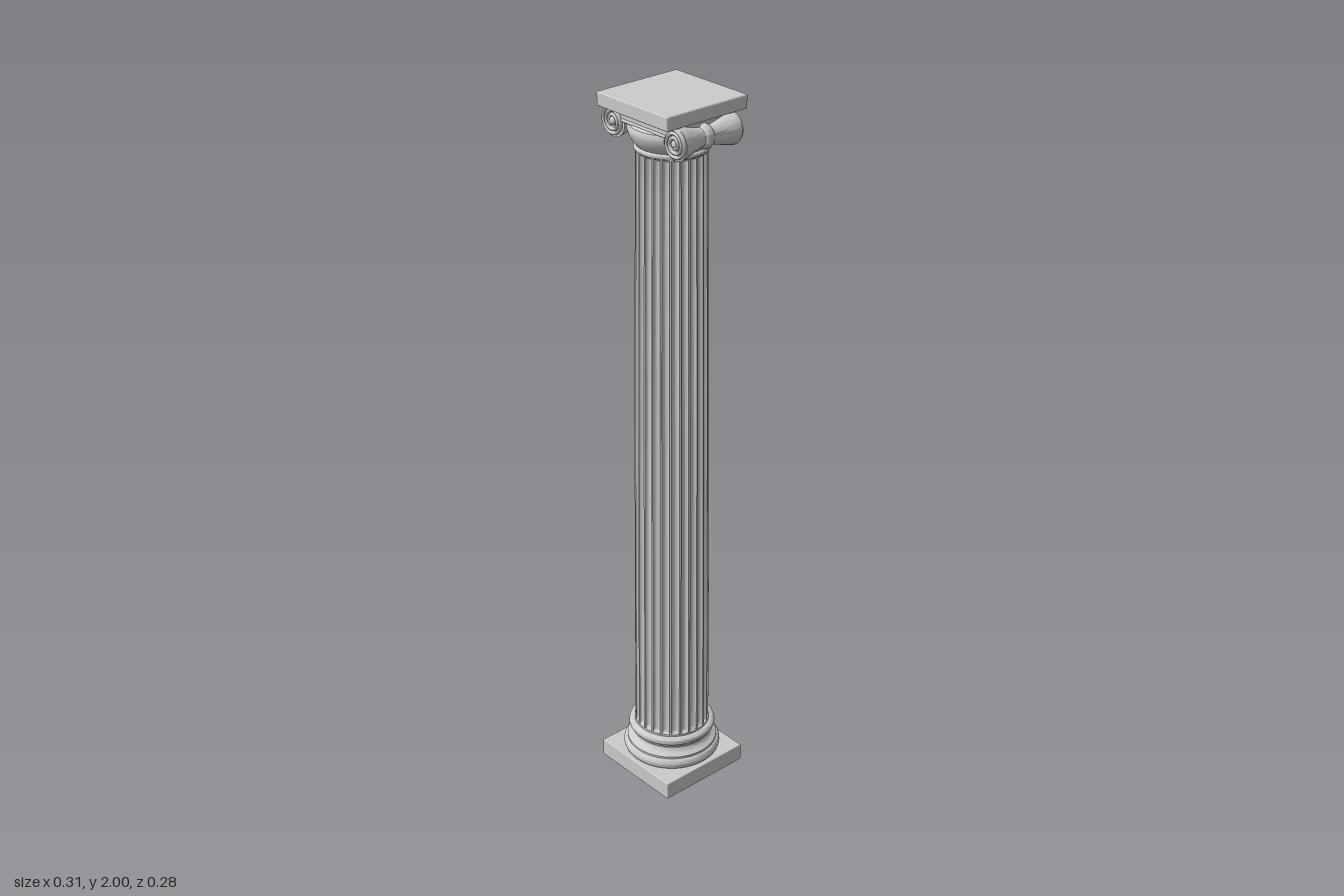
import * as THREE from 'three';
import { toCreasedNormals } from 'three/addons/utils/BufferGeometryUtils.js';
import { RoundedBoxGeometry } from 'three/addons/geometries/RoundedBoxGeometry.js';

const stone = new THREE.MeshStandardMaterial({ color: 0xcccccc });

function add(parent, name, geometry, x = 0, y = 0, z = 0) {
  const mesh = new THREE.Mesh(geometry, stone);
  mesh.name = name;
  mesh.position.set(x, y, z);
  parent.add(mesh);
  return mesh;
}

// Turned solid from [radius, height] pairs, bottom to top
function turned(pairs, segments = 64) {
  const pts = pairs.map(([r, y]) => new THREE.Vector2(r, y));
  return toCreasedNormals(new THREE.LatheGeometry(pts, segments), 0.7);
}

// Half-round bulge between two heights, for a turned profile
function bulge(r, y0, y1, depth, n = 10) {
  return Array.from({ length: n + 1 }, (_, i) => {
    const a = (i / n) * Math.PI;
    return [r + depth * Math.sin(a), (y0 + y1) / 2 - ((y1 - y0) / 2) * Math.cos(a)];
  });
}

// Tapered shaft with round-ended flutes
function flutedShaft(y0, y1, rBottom, rTop) {
  const flutes = 24, samples = 10, end = 0.012;
  const around = flutes * samples;
  const levels = [];
  for (let i = 0; i <= 6; i++) levels.push(y0 + 0.004 + end * (1 - Math.cos((i / 6) * Math.PI / 2)));
  for (let i = 1; i < 20; i++) levels.push(THREE.MathUtils.lerp(y0 + 0.016, y1 - 0.016, i / 20));
  for (let i = 0; i <= 6; i++) levels.push(y1 - 0.004 - end * (1 - Math.sin((i / 6) * Math.PI / 2)));
  levels.unshift(y0);
  levels.push(y1);
  const pos = [], idx = [];
  levels.forEach((y, i) => {
    const t = (y - y0) / (y1 - y0);
    const r = rBottom + (rTop - rBottom) * Math.pow(t, 1.4);
    const e = Math.min(1, Math.max(0, Math.min(y - y0, y1 - y) - 0.004) / end);
    const depth = 0.0095 * Math.sqrt(1 - (1 - e) ** 2);
    for (let j = 0; j <= around; j++) {
      const k = j % samples;
      // first sample step is the flat fillet, the rest sweeps the hollow
      const s = k === 0 ? 0 : (k - 1) / (samples - 1);
      const u = k === 0 ? 0 : 0.2 + 0.8 * (1 - Math.cos(s * Math.PI)) / 2;
      const a = ((Math.floor(j / samples) + u) / flutes) * Math.PI * 2;
      const rr = r - depth * Math.sin(s * Math.PI);
      pos.push(rr * Math.sin(a), y, rr * Math.cos(a));
      if (i < levels.length - 1 && j < around) {
        const p = i * (around + 1) + j, q = p + around + 1;
        idx.push(p, p + 1, q + 1, p, q + 1, q);
      }
    }
  });
  const g = new THREE.BufferGeometry();
  g.setAttribute('position', new THREE.Float32BufferAttribute(pos, 3));
  g.setIndex(idx);
  return toCreasedNormals(g, 0.6);
}

const VX = 0.115, VY = 1.92;

// One raised ridge: spirals out of one volute, runs across, spirals into the other
function scrollRidge() {
  const right = [];
  const turns = 2.5, n = 60;
  for (let i = 0; i <= n; i++) {
    const t = i / n;
    const a = Math.PI / 2 - t * turns * Math.PI * 2;
    const r = 0.037 * Math.pow(1 - t, 0.9) + 0.009 * t;
    right.push(new THREE.Vector3(VX + r * Math.cos(a), VY + r * Math.sin(a), 0));
  }
  const left = right.map(p => new THREE.Vector3(-p.x, p.y, 0)).reverse();
  const middle = [-0.06, 0, 0.06].map(x => new THREE.Vector3(x, VY + 0.036, 0));
  const path = new THREE.CatmullRomCurve3([...left, ...middle, ...right]);
  return new THREE.TubeGeometry(path, 400, 0.0048, 8);
}

export function createModel() {
  const model = new THREE.Group();
  model.name = 'column';

  // Base
  const base = new THREE.Group();
  base.name = 'base';
  model.add(base);
  add(base, 'plinth', new RoundedBoxGeometry(0.283, 0.052, 0.283, 2, 0.003), 0, 0.026, 0);
  const hollow = Array.from({ length: 9 }, (_, i) => {
    const t = i / 8;
    return [0.127 - 0.015 * t - 0.010 * Math.sin(t * Math.PI), 0.092 + 0.027 * t];
  });
  add(base, 'baseMouldings', turned([
    [0, 0.05], ...bulge(0.122, 0.052, 0.086, 0.015),
    [0.127, 0.086], ...hollow,
    [0.115, 0.119], [0.115, 0.124], ...bulge(0.111, 0.124, 0.148, 0.011),
    [0.106, 0.148], [0.106, 0.154], [0, 0.154],
  ]));

  // Shaft
  add(model, 'flutedShaft', flutedShaft(0.15, 1.862, 0.104, 0.091));

  // Capital
  const capital = new THREE.Group();
  capital.name = 'capital';
  model.add(capital);
  add(capital, 'neckAndEchinus', turned([
    [0, 1.858], ...bulge(0.091, 1.86, 1.872, 0.005, 8), [0.09, 1.873],
    [0.094, 1.878], [0.101, 1.887], [0.107, 1.898], [0.111, 1.91], [0.111, 1.918],
    [0.107, 1.926], [0.1, 1.929], [0, 1.929],
  ]));
  add(capital, 'channelBlock', new THREE.BoxGeometry(0.23, 0.036, 0.18), 0, 1.944, 0);
  add(capital, 'abacus', new RoundedBoxGeometry(0.262, 0.037, 0.262, 2, 0.004), 0, 1.9815, 0);

  // Bolsters: flared rolls with a bead tied round the waist
  const half = [[0.033, 0], [0.032, 0.006], [0.029, 0.011], [0.025, 0.014], [0.026, 0.022],
    [0.030, 0.038], [0.035, 0.056], [0.039, 0.072], [0.042, 0.087], [0.042, 0.09], [0.034, 0.09], [0, 0.09]];
  const roll = [...half.slice(1).reverse().map(([r, z]) => [r, -z]), ...half];
  for (const side of [-1, 1]) {
    const g = turned(roll, 40);
    g.rotateX(Math.PI / 2);
    add(capital, side > 0 ? 'leftBolster' : 'rightBolster', g, side * VX, VY, 0);
  }

  // Scroll faces, front and back
  const ridge = scrollRidge();
  for (const [name, turn] of [['frontScroll', 0], ['backScroll', Math.PI]]) {
    const face = new THREE.Group();
    face.name = name;
    face.rotation.y = turn;
    capital.add(face);
    add(face, 'scrollRidge', ridge, 0, 0, 0.09).scale.z = 2;
    const lower = new THREE.CapsuleGeometry(0.004, 0.16, 4, 8).rotateZ(Math.PI / 2);
    add(face, 'channelEdge', lower, 0, 1.93, 0.092);
    for (const side of [-1, 1]) {
      const eye = add(face, 'scrollEye', new THREE.SphereGeometry(0.011, 20, 12), side * VX, VY, 0.09);
      eye.scale.z = 0.95;
    }
  }
  return model;
}
